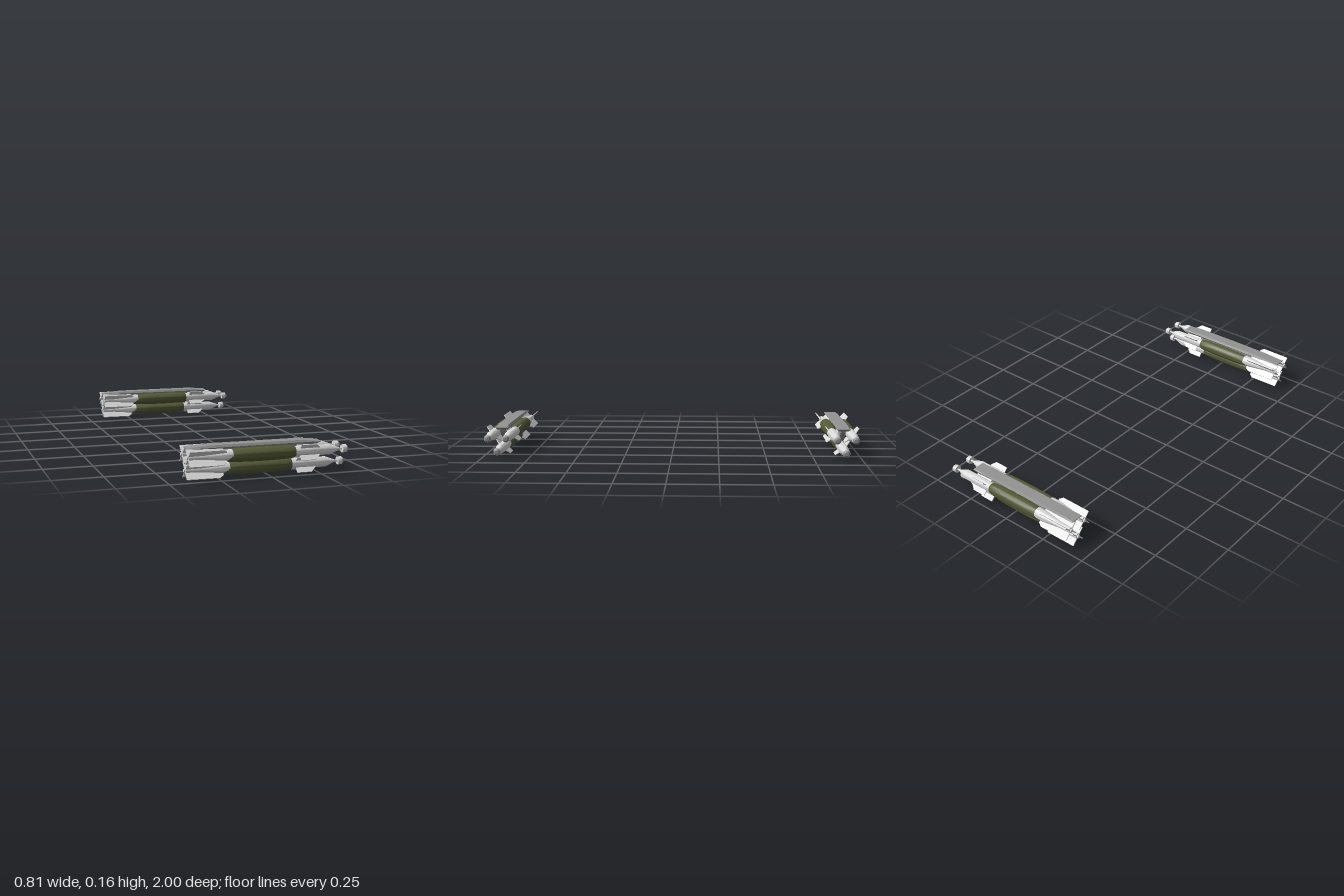
import * as THREE from 'three';
import { toCreasedNormals } from 'three/addons/utils/BufferGeometryUtils.js';

const mat = (name, color) => {
  const m = new THREE.MeshStandardMaterial({ color });
  m.name = name;
  return m;
};

export function createModel() {
  const white = mat('pale grey', 0xd9d9d9);
  const olive = mat('olive', 0x565b36);
  const grey = mat('mid grey', 0x939393);

  // Turned part along x; profile points are [x, radius], rear to front
  const turned = (profile) => {
    const pts = profile.map(([x, r]) => new THREE.Vector2(r, x));
    const g = new THREE.LatheGeometry(pts, 28);
    g.rotateZ(-Math.PI / 2);
    return toCreasedNormals(g, 0.5);
  };

  // Flat fin from an [x, radius] outline
  const finGeometry = (outline, t) => {
    const shape = new THREE.Shape(outline.map(([x, r]) => new THREE.Vector2(x, r)));
    const g = new THREE.ExtrudeGeometry(shape, { depth: t, bevelEnabled: false });
    g.translate(0, 0, -t / 2);
    return g;
  };

  const body = turned([[-0.235, 0.0245], [-0.19, 0.0295], [-0.12, 0.0328], [-0.05, 0.0337],
    [0.03, 0.033], [0.09, 0.031], [0.12, 0.0285], [0.13, 0.024]]);
  const tail = turned([[-0.408, 0], [-0.408, 0.008], [-0.4, 0.008], [-0.4, 0.014], [-0.33, 0.016],
    [-0.24, 0.0268], [-0.188, 0.0295], [-0.188, 0.02]]);
  const guidance = turned([[0.12, 0.0252], [0.305, 0.0252], [0.36, 0.005], [0.372, 0.005]]);
  const ring = turned([[0.371, 0], [0.371, 0.0195], [0.392, 0.0195], [0.393, 0.017]]);
  const dome = turned([[0.392, 0.0185], [0.398, 0.015], [0.403, 0.0095], [0.405, 0]]);
  const tailFin = finGeometry([[-0.402, 0.005], [-0.22, 0.01], [-0.22, 0.038],
    [-0.24, 0.052], [-0.402, 0.051]], 0.005);
  const noseFin = finGeometry([[0.148, 0.02], [0.25, 0.02], [0.25, 0.026],
    [0.222, 0.0535], [0.148, 0.0535]], 0.004);

  // Carrier beam lofted through six-sided sections: [x, top y, bottom y]
  const beamGeometry = () => {
    const stations = [[-0.4, 0.152, 0.147], [-0.28, 0.16, 0.143], [0.18, 0.16, 0.138],
      [0.24, 0.1535, 0.134], [0.27, 0.151, 0.147]];
    const rings = stations.map(([x, top, bot]) => [
      [x, top, 0.029], [x, 0.149, 0.035], [x, bot, 0.028],
      [x, bot, -0.028], [x, 0.149, -0.035], [x, top, -0.029]]);
    const pos = [];
    const tri = (...corners) => corners.forEach((c) => pos.push(...c));
    for (let i = 0; i < rings.length - 1; i++) {
      for (let j = 0; j < 6; j++) {
        const k = (j + 1) % 6;
        tri(rings[i][j], rings[i][k], rings[i + 1][k]);
        tri(rings[i][j], rings[i + 1][k], rings[i + 1][j]);
      }
    }
    const first = rings[0], last = rings[rings.length - 1];
    for (let j = 1; j < 5; j++) {
      tri(last[0], last[j], last[j + 1]);
      tri(first[0], first[j + 1], first[j]);
    }
    const g = new THREE.BufferGeometry();
    g.setAttribute('position', new THREE.Float32BufferAttribute(pos, 3));
    g.computeVertexNormals();
    return g;
  };
  const beam = beamGeometry();

  // Narrow keel between the upper pair, reaching the lower bomb
  const keelShape = new THREE.Shape([[-0.34, 0.145], [-0.28, 0.075], [0.17, 0.075], [0.235, 0.126],
    [0.24, 0.145]].map(([x, y]) => new THREE.Vector2(x, y)));
  const keel = new THREE.ExtrudeGeometry(keelShape, { depth: 0.026, bevelEnabled: false });
  keel.translate(0, 0, -0.013);

  const add = (parent, name, geometry, material) => {
    const m = new THREE.Mesh(geometry, material);
    m.name = name;
    parent.add(m);
    return m;
  };

  // One bomb, axis along x
  const makeBomb = () => {
    const b = new THREE.Group();
    b.name = 'bomb';
    add(b, 'body', body, olive);
    add(b, 'tailCone', tail, white).position.y = 0.002;
    add(b, 'guidanceSection', guidance, white);
    add(b, 'seekerRing', ring, white);
    add(b, 'seekerDome', dome, grey);
    for (let i = 0; i < 4; i++) {
      const a = Math.PI / 4 + i * Math.PI / 2;
      add(b, 'tailFin', tailFin, white).rotation.x = a;
      add(b, 'noseFin', noseFin, white).rotation.x = a;
    }
    return b;
  };

  // Two racks, each with one lower and two upper bombs
  const model = new THREE.Group();
  model.name = 'bombRacks';
  for (const side of [-1, 1]) {
    const rack = new THREE.Group();
    rack.name = side > 0 ? 'frontRack' : 'backRack';
    rack.position.z = side * 0.912;
    add(rack, 'carrierBeam', beam, grey);
    add(rack, 'carrierKeel', keel, grey);
    for (const [y, z] of [[0.041, 0], [0.11, 0.048], [0.11, -0.048]]) {
      const b = makeBomb();
      b.position.set(0, y, z);
      rack.add(b);
    }
    model.add(rack);
  }
  return model;
}
